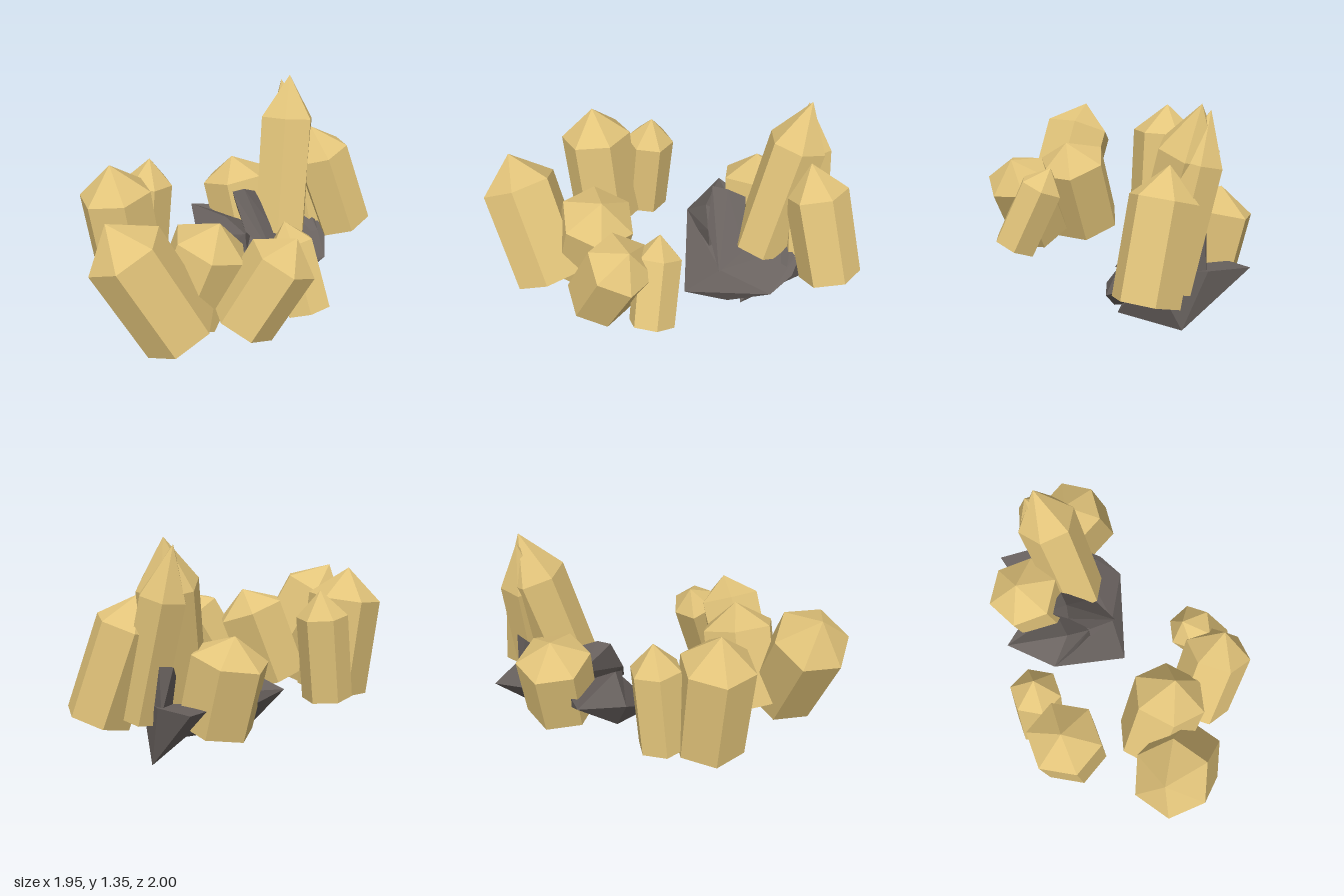
import * as THREE from 'three';
import { mergeGeometries } from 'three/addons/utils/BufferGeometryUtils.js';
import { ConvexGeometry } from 'three/addons/geometries/ConvexGeometry.js';

const V = (p) => new THREE.Vector3(...p);

// Flat normals on every facet
function facet(geometry) {
  const flat = geometry.index ? geometry.toNonIndexed() : geometry;
  flat.computeVertexNormals();
  return flat;
}

// Six-sided prism with a pointed cap, running from base centre to tip
function crystal({ base, tip, r, twist = 0, shoulder = 0.76 }, material) {
  const axis = V(tip).sub(V(base));
  const length = axis.length();
  const body = length * shoulder;
  const shaft = new THREE.CylinderGeometry(r, r * 0.98, body, 6, 1).translate(0, body / 2, 0);
  const cap = new THREE.ConeGeometry(r, length - body, 6, 1, true).translate(0, (length + body) / 2, 0);
  const geometry = mergeGeometries([shaft, cap]).rotateY(THREE.MathUtils.degToRad(twist));
  const mesh = new THREE.Mesh(facet(geometry), material);
  mesh.quaternion.setFromUnitVectors(new THREE.Vector3(0, 1, 0), axis.normalize());
  mesh.position.set(...base);
  return mesh;
}

export function createModel() {
  const model = new THREE.Group();
  model.name = 'crystalCluster';
  const gold = new THREE.MeshStandardMaterial({ color: 0xe2c47a });
  gold.name = 'golden crystal';
  const stone = new THREE.MeshStandardMaterial({ color: 0x69625f });
  stone.name = 'dark stone';

  const crystals = {
    leftBackCrystal: { base: [-0.67, 0.28, 0.08], tip: [-0.77, 1.075, 0.09], r: 0.23, twist: 18 },
    smallBackCrystal: { base: [-0.6, 0.29, -0.19], tip: [-0.54, 0.975, -0.23], r: 0.16, twist: 17 },
    frontLeaningCrystal: { base: [-0.35, 0.29, 0.76], tip: [-0.75, 1.02, 0.755], r: 0.242, twist: -8 },
    middleCrystal: { base: [-0.34, 0.27, 0.5], tip: [-0.11, 0.88, 0.51], r: 0.24, shoulder: 0.77 },
    frontCrystal: { base: [0.015, 0.295, 0.66], tip: [0.33, 0.84, 0.64], r: 0.212, twist: 12 },
    smallFrontCrystal: { base: [0.42, 0.3, 0.56], tip: [0.28, 0.81, 0.37], r: 0.147, twist: 3 },
    tallCrystal: { base: [0.335, 0.33, -0.435], tip: [0.41, 1.35, -0.74], r: 0.19, shoulder: 0.73, twist: -10 },
    tallRearCrystal: { base: [0.56, 0.3, -0.62], tip: [0.355, 1.31, -0.77], r: 0.15, shoulder: 0.71 },
    rightCrystal: { base: [0.8, 0.29, -0.61], tip: [0.55, 1.02, -0.62], r: 0.202, shoulder: 0.75, twist: 13 },
    stubbyRearCrystal: { base: [0.12, 0.23, -0.6], tip: [0.01, 0.78, -0.69], r: 0.235, twist: -16 },
  };
  for (const [name, spec] of Object.entries(crystals)) {
    const mesh = crystal(spec, gold);
    mesh.name = name;
    model.add(mesh);
  }

  // Jagged boulder: overlapping shards with grooves between them
  const rocks = {
    rockFront: [
      [0.13, 0.05, 0.05], [-0.15, 0.27, -0.25], [-0.09, 0.13, -0.3], [0.35, 0.015, -0.14],
      [0.63, 0.2, -0.25], [0.65, 0.28, -0.42], [0.58, 0.41, -0.6], [0.28, 0.24, -0.13],
      [-0.24, 0.36, -0.29], [-0.28, 0.45, -0.62], [0.2, 0.2, -0.6], [0.42, 0.14, -0.55],
    ],
    rockRearBlade: [
      [0.41, 0, -0.2], [0.49, 0.02, -0.68], [0.27, 0.4, -1], [0.45, 0.4, -0.82],
      [0.55, 0.37, -0.5], [0.3, 0.3, -0.3], [0.28, 0.13, -0.45], [0.1, 0.36, -0.68],
    ],
    rockRearSpur: [
      [0.44, 0.63, -0.79], [0.36, 0.62, -0.76], [0.58, 0.41, -0.6],
      [0.6, 0.32, -0.42], [0.3, 0.3, -0.4], [0.43, 0.35, -0.8],
    ],
    rockLeftWedge: [
      [-0.28, 0.45, -0.62], [-0.24, 0.36, -0.29], [-0.05, 0.51, -0.29], [0.08, 0.42, -0.2],
      [-0.13, 0.27, -0.25], [0.1, 0.2, -0.2], [0.2, 0.3, -0.6],
    ],
    rockUprightShard: [
      [0.29, 0.24, -0.11], [0.08, 0.45, -0.19], [0, 0.69, -0.3], [0.08, 0.68, -0.36],
      [0.16, 0.62, -0.45], [0.32, 0.34, -0.3], [0.03, 0.5, -0.5], [0.2, 0.25, -0.45],
    ],
  };
  for (const [name, points] of Object.entries(rocks)) {
    const mesh = new THREE.Mesh(facet(new ConvexGeometry(points.map(V))), stone);
    mesh.name = name;
    model.add(mesh);
  }
  return model;
}
